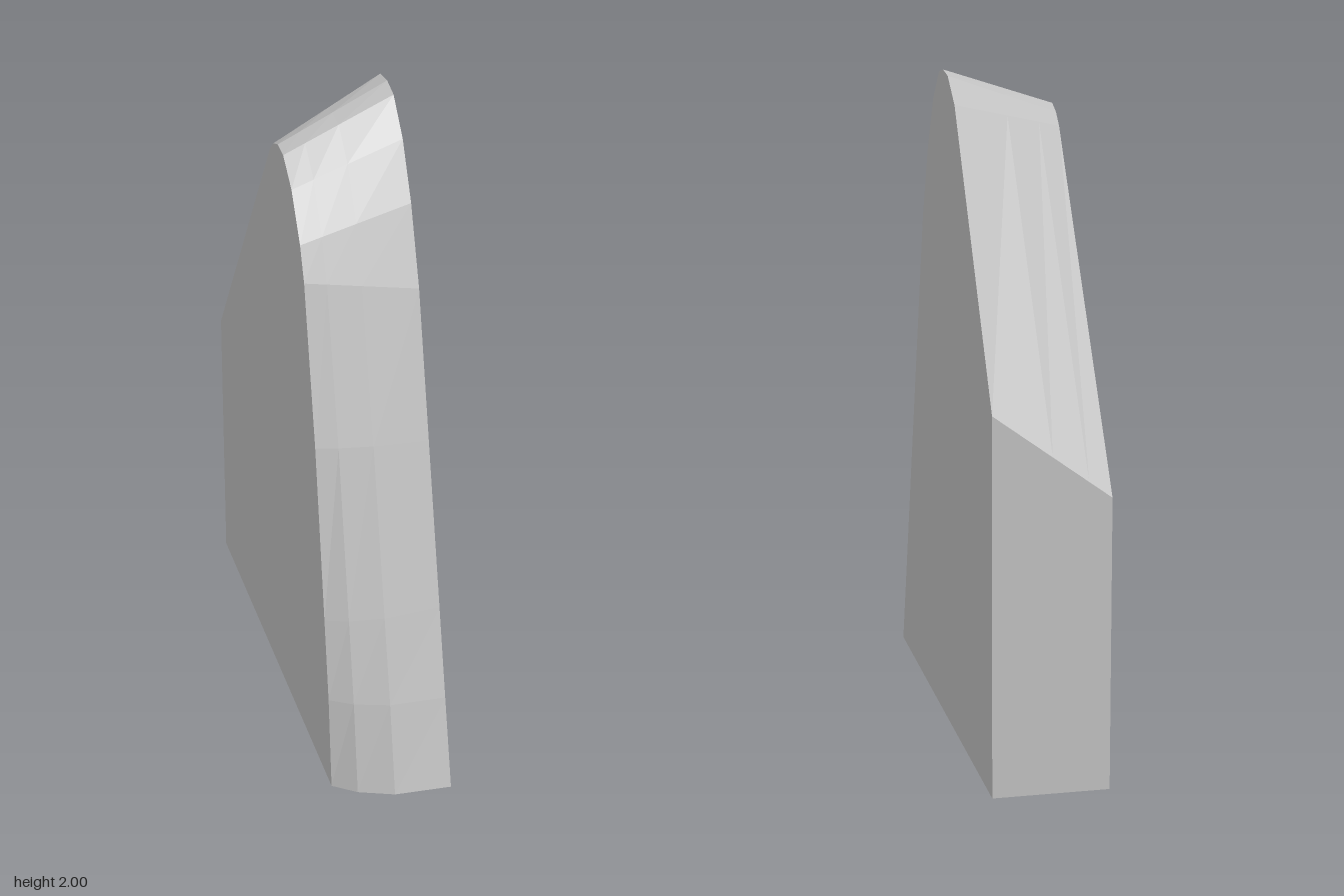
import * as THREE from 'three';

// Side outlines as [z, y], from the front foot over the crest to the back foot
const TALL = [[0.72, 0], [0.643, 0.28], [0.567, 0.56], [0.43, 1.06], [0.31, 1.5], [0.22, 1.73], [0.13, 1.89],
  [0.035, 1.985], [-0.03, 2], [-0.1, 1.99], [-0.2, 1.92], [-0.72, 1.13], [-0.72, 0]];
const LOW = [[0.62, 0], [0.587, 0.3], [0.542, 0.56], [0.445, 1.1], [0.332, 1.58], [0.29, 1.68], [0.2, 1.81],
  [0.11, 1.875], [0.05, 1.88], [0, 1.86], [-0.04, 1.825], [-0.72, 0.875], [-0.72, 0]];

// Stations across the width: [x, forward bulge at the foot]
const STATIONS = [[-0.173, 0], [-0.105, 0.03], [0, 0.04], [0.173, 0]];

function section([x, bulge]) {
  const t = (x + 0.173) / 0.346;
  return LOW.map(([z, y], j) => {
    const py = THREE.MathUtils.lerp(y, TALL[j][1], t);
    const fade = z > 0.33 ? Math.max(0, 1 - py / 1.55) : 0;
    return [x, py, THREE.MathUtils.lerp(z, TALL[j][0], t) + bulge * fade];
  });
}

function loftGeometry() {
  const rings = STATIONS.map(section);
  const n = LOW.length;
  const pos = [];
  const tri = (a, b, c) => pos.push(...a, ...b, ...c);
  // Skin around the outline, including the underside
  for (let i = 0; i < rings.length - 1; i++) {
    for (let j = 0; j < n; j++) {
      const k = (j + 1) % n;
      const a = rings[i][j], b = rings[i][k], c = rings[i + 1][k], d = rings[i + 1][j];
      tri(a, d, c);
      tri(a, c, b);
    }
  }
  // Flat side faces
  const cap = (ring, flip) => {
    const outline = ring.map(p => new THREE.Vector2(p[2], p[1]));
    for (const [a, b, c] of THREE.ShapeUtils.triangulateShape(outline, [])) {
      if (flip) tri(ring[a], ring[c], ring[b]);
      else tri(ring[a], ring[b], ring[c]);
    }
  };
  cap(rings[0], false);
  cap(rings[rings.length - 1], true);
  const g = new THREE.BufferGeometry();
  g.setAttribute('position', new THREE.Float32BufferAttribute(pos, 3));
  g.computeVertexNormals();
  return g;
}

export function createModel() {
  const group = new THREE.Group();
  group.name = 'slantedBlock';
  const grey = new THREE.MeshStandardMaterial({ color: 0xc0c0c0 });
  grey.name = 'light grey';
  const body = new THREE.Mesh(loftGeometry(), grey);
  body.name = 'body';
  group.add(body);
  return group;
}
